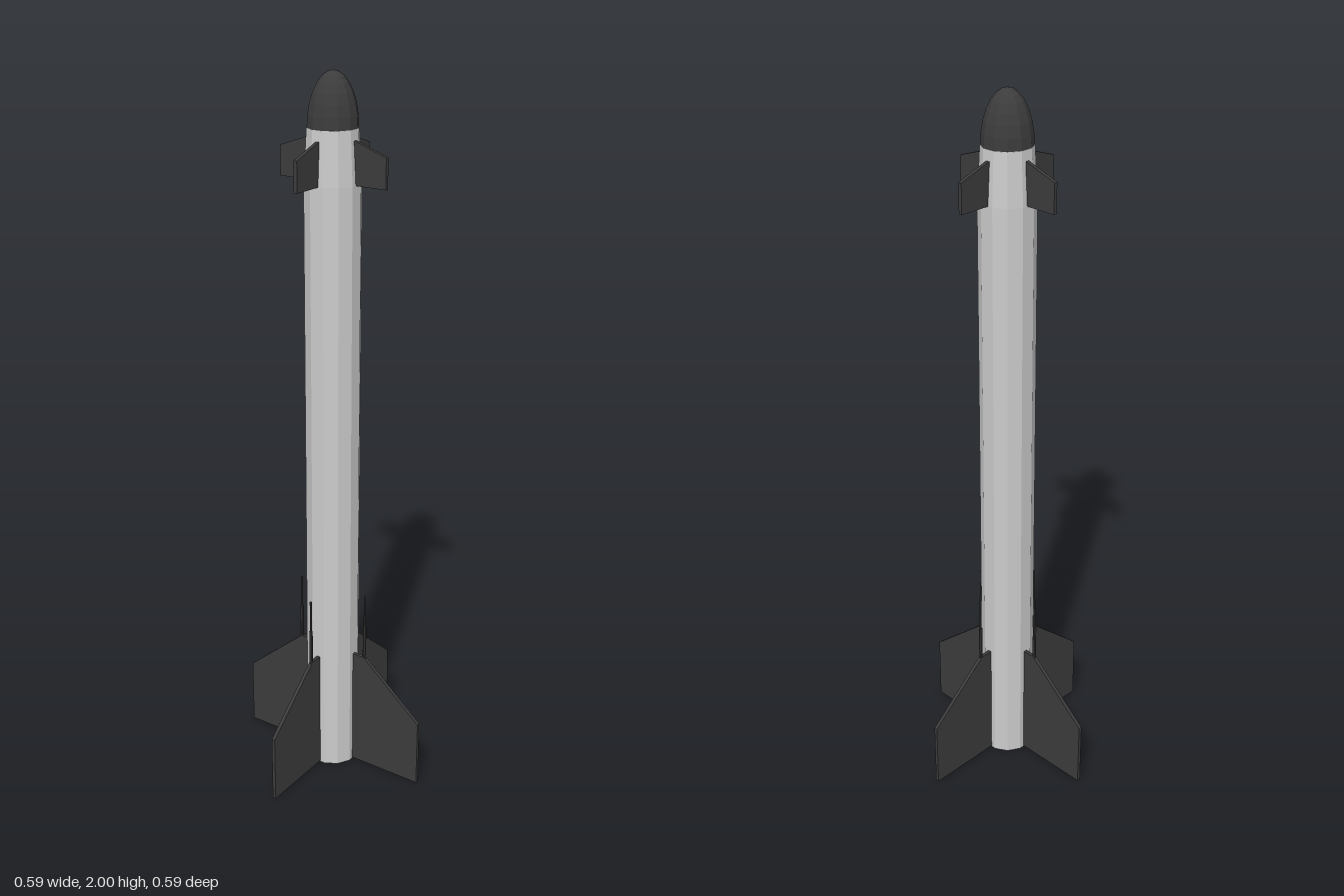
import * as THREE from 'three';

const grey = new THREE.MeshStandardMaterial({ color: 0xcccccc, flatShading: true });
const dark = new THREE.MeshStandardMaterial({ color: 0x3c3c3c, flatShading: true });
const SIDES = 12;
const THICK = 0.01;

function part(name, geometry, material) {
  const mesh = new THREE.Mesh(geometry, material);
  mesh.name = name;
  return mesh;
}

// Twelve-sided turned shape with flats facing the axes
function turned(profile) {
  const points = profile.map(([r, y]) => new THREE.Vector2(r, y));
  return new THREE.LatheGeometry(points, SIDES, Math.PI / SIDES);
}

// Flat plate in the x-y plane, centred on z = 0
function plate(outline) {
  const shape = new THREE.Shape(outline.map(([x, y]) => new THREE.Vector2(x, y)));
  return new THREE.ExtrudeGeometry(shape, { depth: THICK, bevelEnabled: false })
    .translate(0, 0, -THICK / 2);
}

export function createModel() {
  const model = new THREE.Group();
  model.name = 'rocket';

  // Body tube with a recessed exhaust opening and a tapered shoulder
  model.add(part('body', turned([
    [0, 0.1], [0.048, 0.1], [0.048, 0], [0.076, 0], [0.076, 1.72], [0.068, 1.86], [0, 1.86],
  ]), grey));

  // Rounded nose cone
  const nose = [[0.067, 1.86]];
  for (let i = 1; i <= 7; i++) {
    const a = (i / 7) * Math.PI / 2;
    nose.push([0.067 * Math.cos(a), 1.86 + 0.14 * Math.sin(a)]);
  }
  model.add(part('noseCone', turned(nose), dark));

  const finShape = plate([[0.06, 0.003], [0.296, 0.003], [0.296, 0.2], [0.11, 0.36], [0.06, 0.36]]);
  const canardShape = plate([[0.06, 1.72], [0.163, 1.72], [0.163, 1.8], [0.07, 1.832], [0.06, 1.832]]);
  const rodBase = new THREE.CylinderGeometry(0.005, 0.005, 0.11, 8);
  const rodTip = new THREE.CylinderGeometry(0.003, 0.003, 0.1, 8);

  // Four identical sets of tail fin, probe and canard
  for (let i = 0; i < 4; i++) {
    const set = new THREE.Group();
    set.name = 'finSet' + (i + 1);
    set.rotation.y = i * Math.PI / 2;
    const base = part('probeBase', rodBase, dark);
    base.position.set(0.11, 0.405, 0);
    const tip = part('probeTip', rodTip, dark);
    tip.position.set(0.11, 0.505, 0);
    set.add(part('tailFin', finShape, dark), part('canard', canardShape, dark), base, tip);
    model.add(set);
  }
  return model;
}
